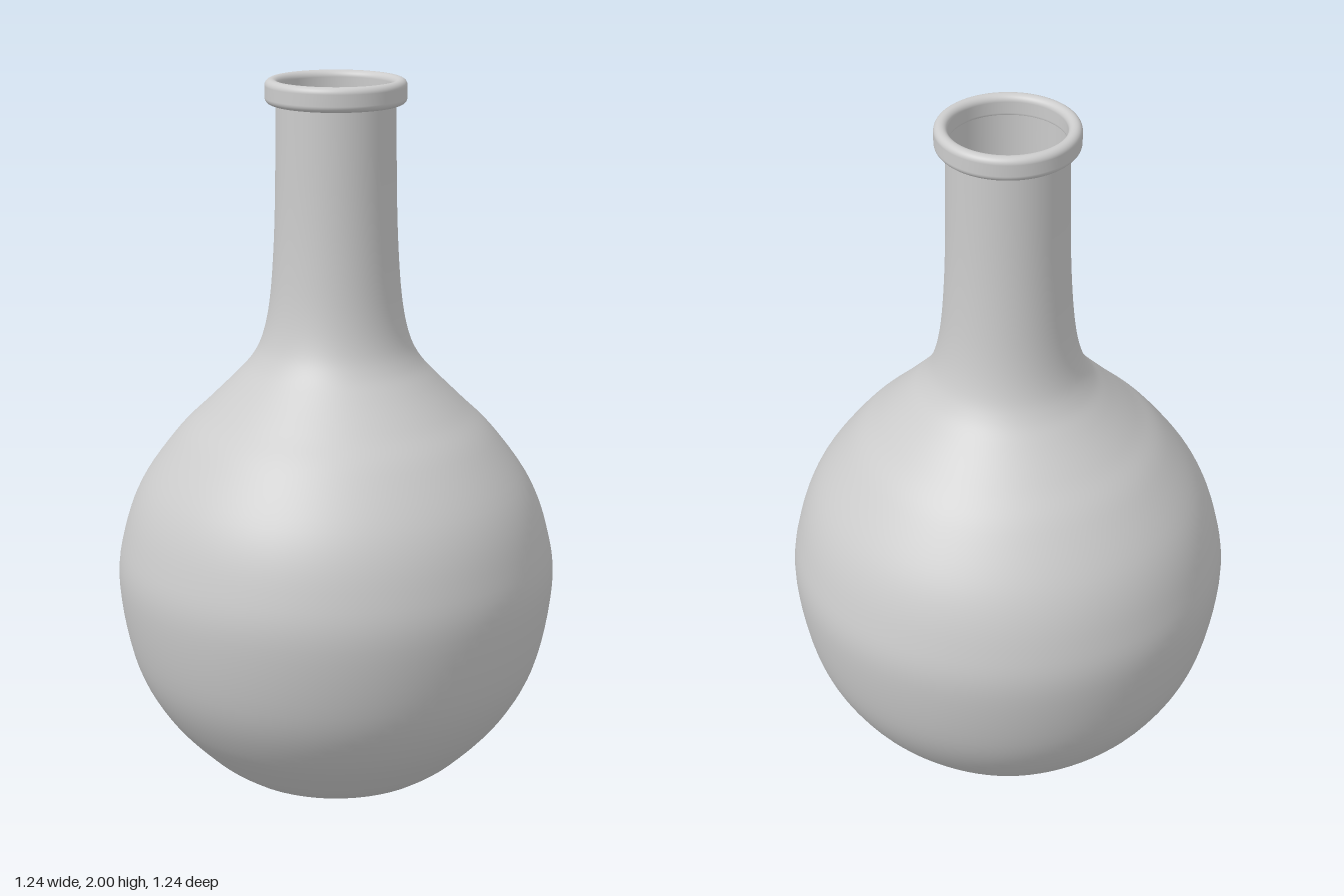
import * as THREE from 'three';

const SEGMENTS = 96;
const WALL = 0.006;

const toVectors = (pairs) => pairs.map(([r, y]) => new THREE.Vector2(r, y));

export function createModel() {
  const group = new THREE.Group();
  const material = new THREE.MeshStandardMaterial({ color: 0xcccccc });

  const addLathe = (name, points) => {
    const mesh = new THREE.Mesh(new THREE.LatheGeometry(points, SEGMENTS), material);
    mesh.name = name;
    group.add(mesh);
  };

  // Outer wall: rounded foot, round bulb, sloping shoulder, straight neck
  const outline = new THREE.SplineCurve(toVectors([
    [0.275, 0], [0.305, 0.012], [0.385, 0.071], [0.5, 0.195], [0.58, 0.35], [0.62, 0.57],
    [0.602, 0.72], [0.55, 0.86], [0.45, 1.0], [0.365, 1.085], [0.285, 1.165],
    [0.237, 1.22], [0.207, 1.28], [0.187, 1.37], [0.175, 1.5], [0.168, 1.68], [0.165, 1.96],
  ])).getPoints(90);
  addLathe('flaskBody', outline);

  // Flat underside
  addLathe('base', toVectors([[0, 0], [0.275, 0]]));

  // Inner wall follows the outer one at a small distance, facing inwards
  const inner = outline.map((p) => new THREE.Vector2(p.x - WALL, Math.max(p.y, WALL))).reverse();
  addLathe('innerWall', inner);
  addLathe('innerFloor', toVectors([[0.275 - WALL, WALL], [0, WALL]]));

  // Rolled lip: a ring with a rounded rectangular section
  const section = new THREE.Shape();
  const [r0, r1, y0, y1, c] = [0.158, 0.195, 1.932, 2, 0.018];
  section.moveTo(r0 + c, y0);
  section.lineTo(r1 - c, y0);
  section.absarc(r1 - c, y0 + c, c, -Math.PI / 2, 0);
  section.absarc(r1 - c, y1 - c, c, 0, Math.PI / 2);
  section.absarc(r0 + c, y1 - c, c, Math.PI / 2, Math.PI);
  section.absarc(r0 + c, y0 + c, c, Math.PI, Math.PI * 1.5);
  addLathe('lip', section.getPoints(8));

  return group;
}
